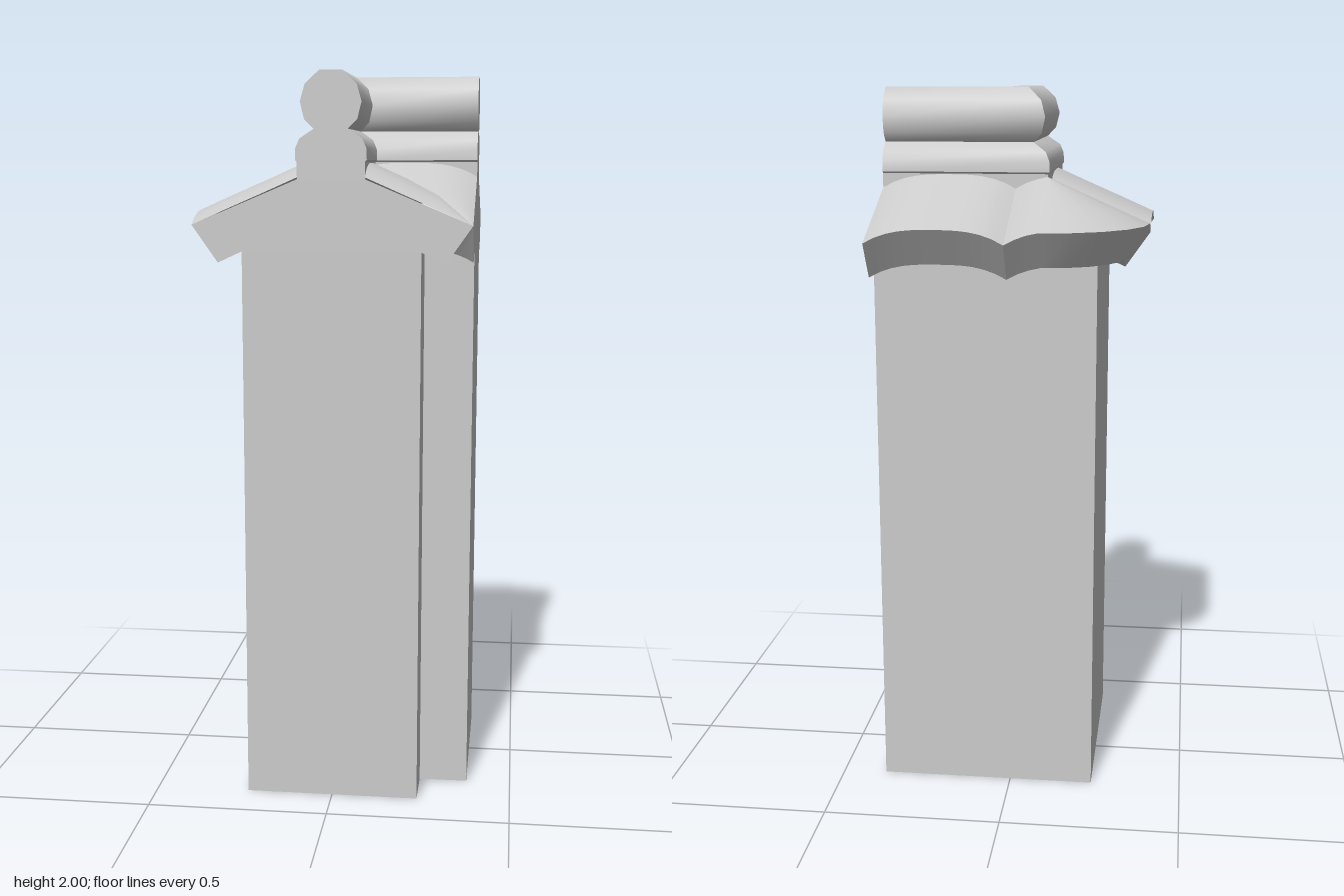
import * as THREE from 'three';
import { mergeGeometries } from 'three/addons/utils/BufferGeometryUtils.js';

const END = 0.375;      // arm length from the corner axis
const WALL = 0.24;      // half thickness of the wall
const NECK = 0.09;      // half width of the ridge foot
const LIFT = 0.038;     // rise of the arched tiles

const material = new THREE.MeshStandardMaterial({ color: 0xcccccc, side: THREE.DoubleSide });

// Smooth surface from stations 0..n along a path and one run of profile points
function strip(n, run, place) {
  const pos = [], index = [], m = run.length;
  for (let s = 0; s <= n; s++) for (const p of run) pos.push(...place(s / n, p, s));
  for (let s = 0; s < n; s++) {
    for (let j = 0; j < m - 1; j++) {
      const a = s * m + j, b = a + 1, c = a + m, d = c + 1;
      index.push(a, b, c, b, d, c);
    }
  }
  const g = new THREE.BufferGeometry();
  g.setAttribute('position', new THREE.Float32BufferAttribute(pos, 3));
  g.setIndex(index);
  g.computeVertexNormals();
  return g;
}

// Several runs, with a hard edge between neighbouring runs
const sweep = (n, runs, place) => mergeGeometries(runs.map(r => strip(n, r, place)));

// The other arm: swap x and z, and turn the triangles round
function mirrored(geometry) {
  const g = geometry.clone();
  for (const key of ['position', 'normal']) {
    const a = g.attributes[key];
    for (let i = 0; i < a.count; i++) a.setXYZ(i, a.getZ(i), a.getY(i), a.getX(i));
  }
  const ix = g.index;
  for (let i = 0; i < ix.count; i += 3) {
    const t = ix.getX(i);
    ix.setX(i, ix.getX(i + 1));
    ix.setX(i + 1, t);
  }
  return g;
}

// Height of a tile's arch along an arm
const arch = x => LIFT * (1 - Math.abs(2 * x / END - 1) ** 3);

export function createModel() {
  const model = new THREE.Group();
  const add = (name, g) => {
    const mesh = new THREE.Mesh(g, material);
    mesh.name = name;
    model.add(mesh);
  };
  const addBoth = (name, g) => {
    add(name + 'A', g);
    add(name + 'B', mirrored(g));
  };

  // Mitred sweep along one arm; u is the offset towards the inner corner
  const alongArm = (t, [u, y]) => [END + (u - END) * t, y, u];

  // Wall faces, open below
  addBoth('wall', sweep(1, [
    [[WALL, 0], [WALL, 1.53]],
    [[-WALL, 1.53], [-WALL, 0]],
  ], alongArm));

  // Ridge: moulded foot and round capping
  const foot = [[NECK, 1.72], [NECK, 1.765], [0.095, 1.77], [0.094, 1.8], [0.083, 1.825], [0.045, 1.85]];
  const ball = [[0.045, 1.85], [0.07, 1.875], [0.081, 1.92], [0.068, 1.965], [0.03, 2]];
  const flip = run => run.map(([u, y]) => [-u, y]).reverse();
  addBoth('ridgeFoot', sweep(1, [
    foot.slice(0, 2), foot.slice(1, 3), foot.slice(2), flip(foot.slice(2)), flip(foot.slice(1, 3)), flip(foot.slice(0, 2)),
  ], alongArm));
  addBoth('ridgeCap', sweep(1, [[...ball, ...flip(ball)]], alongArm));

  // Roof slab section: slope, eave edge, soffit (distance from ridge foot, height)
  const slab = [
    [[0, 1.725], [0.095, 1.683], [0.19, 1.642], [0.285, 1.6]],
    [[0.285, 1.6], [0.215, 1.5]],
    [[0.215, 1.5], [0.15, 1.53]],
  ];

  // Arched tile on the outer side of each arm
  addBoth('outerTile', sweep(12, slab, (t, [r, y]) => {
    const x = END * (1 - t);
    return [x, y + arch(x), -NECK - r];
  }));

  // Arched tile on the inner side, cut along the valley
  addBoth('innerTile', sweep(12, slab, (t, [r, y]) => {
    const u = NECK + r, x = u + (END - u) * t;
    return [x, y + arch(x), u];
  }));

  // Rounded corner tile: half an arch, a five-sided fan, half an arch
  const stations = [];
  for (let i = 0; i <= 3; i++) stations.push([-NECK * i / 3, -NECK, 0, arch(NECK * i / 3)]);
  for (let i = 1; i <= 5; i++) stations.push([-NECK, -NECK, i * Math.PI / 10, arch(NECK)]);
  for (let i = 2; i >= 0; i--) stations.push([-NECK, -NECK * i / 3, Math.PI / 2, arch(NECK * i / 3)]);
  add('cornerTile', sweep(stations.length - 1, slab, (t, [r, y], s) => {
    const [x, z, angle, lift] = stations[s];
    return [x - r * Math.sin(angle), y + lift, z - r * Math.cos(angle)];
  }));

  // Flat end of each arm, in the full section of wall, eaves and ridge
  const half = [[WALL, 0], [WALL, 1.53], [0.305, 1.5], [END, 1.6], ...foot, ...ball.slice(1)];
  const outline = [...half, ...flip(half)].map(p => new THREE.Vector2(...p));
  const end = new THREE.ShapeGeometry(new THREE.Shape(outline));
  end.translate(0, 0, END);
  addBoth('endFace', end);

  return model;
}
